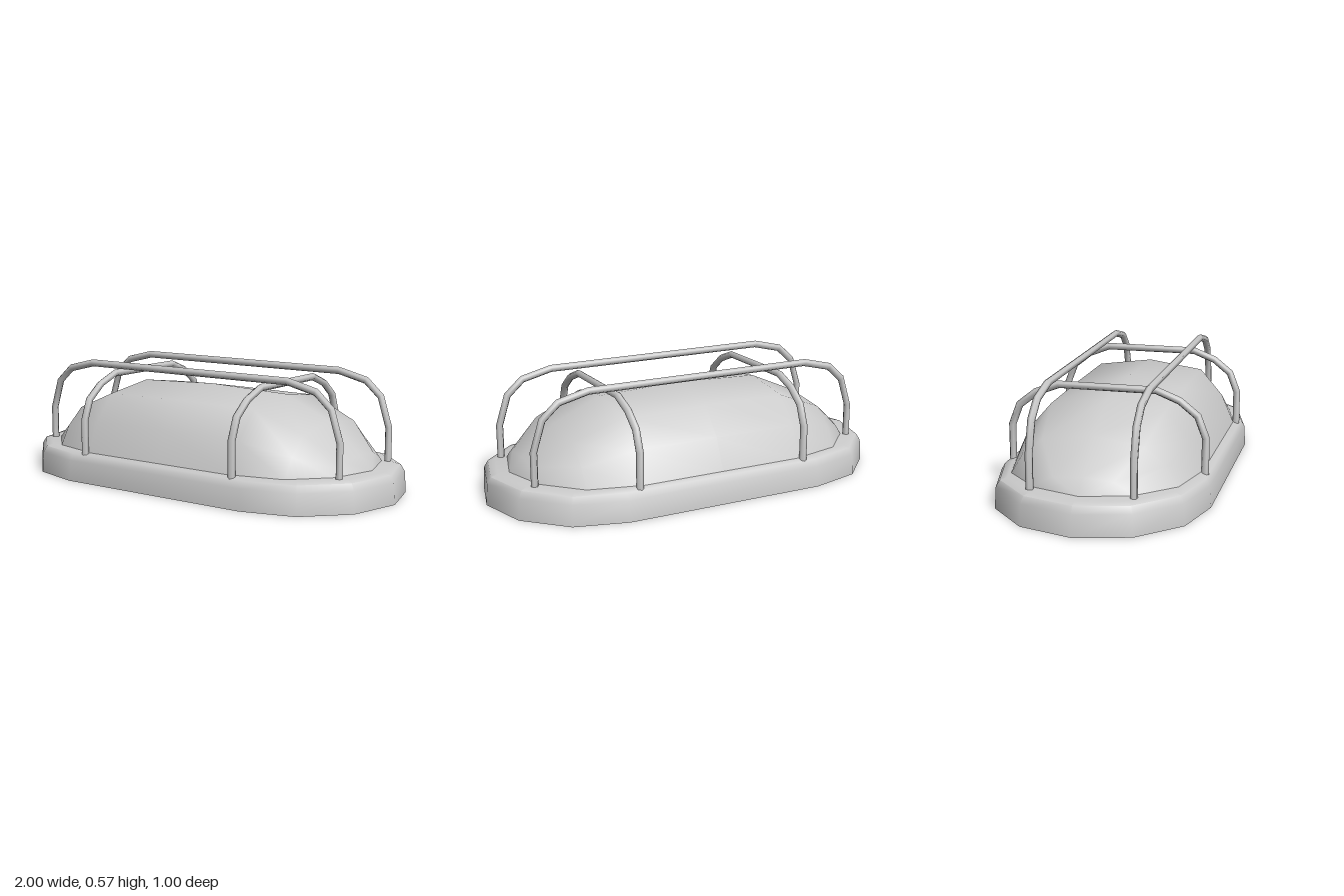
import * as THREE from 'three';
import { toCreasedNormals } from 'three/addons/utils/BufferGeometryUtils.js';

const material = new THREE.MeshStandardMaterial({ color: 0xcccccc });

// Skin a list of equal-length cross-sections (arrays of [x, y, z])
function loft(rings, crease) {
  const n = rings[0].length;
  const index = [];
  for (let i = 0; i < rings.length - 1; i++) {
    for (let j = 0; j < n - 1; j++) {
      const a = i * n + j, d = a + n;
      index.push(a, a + 1, d + 1, a, d + 1, d);
    }
  }
  const geometry = new THREE.BufferGeometry();
  geometry.setAttribute('position', new THREE.Float32BufferAttribute(rings.flat(2), 3));
  geometry.setIndex(index);
  return toCreasedNormals(geometry, crease);
}

// Stadium outline: two six-sided half rounds joined by straight sides
function stadium(r, y) {
  const points = [];
  for (const side of [1, -1]) {
    for (let k = 0; k <= 6; k++) {
      const t = (k / 6 - 0.5) * Math.PI;
      points.push([side * (0.5 + r * Math.cos(t)), y, -side * r * Math.sin(t)]);
    }
  }
  points.push(points[0]);
  return points;
}

// Mitred six-sided rod following a mirrored path in the xy plane
function rod(half, radius) {
  const path = [...half.map(([x, y]) => new THREE.Vector2(-x, y)),
    ...half.map(([x, y]) => new THREE.Vector2(x, y)).reverse()];
  const normals = path.slice(1).map((p, i) => {
    const t = p.clone().sub(path[i]).normalize();
    return new THREE.Vector2(-t.y, t.x);
  });
  const rings = path.map((p, i) => {
    const n1 = normals[Math.max(i - 1, 0)];
    const n2 = normals[Math.min(i, normals.length - 1)];
    const m = n1.clone().add(n2).divideScalar(1 + n1.dot(n2));
    return Array.from({ length: 7 }, (_, k) => {
      const a = k * Math.PI / 3, c = radius * Math.cos(a);
      return [p.x + m.x * c, p.y + m.y * c, radius * Math.sin(a)];
    });
  });
  return loft(rings, 1.2);
}

export function createModel() {
  const group = new THREE.Group();
  const add = (name, geometry) => {
    const mesh = new THREE.Mesh(geometry, material);
    mesh.name = name;
    group.add(mesh);
    return mesh;
  };

  // Base tray with a softened upper rim, closed above and below
  const centre = (y) => stadium(0, y).map(() => [0, y, 0]);
  const rim = [[0.5, 0], [0.493, 0.1], [0.474, 0.132], [0.44, 0.142]];
  add('base', loft([centre(0), ...rim.map(([r, y]) => stadium(r, y)), centre(0.142)], 0.8));

  // Faceted dome lens: stations along x as [x, half width, side height, ridge height]
  const half = [[0.42, 0.445, 0.32, 0.31], [0.66, 0.385, 0.205, 0.205],
    [0.82, 0.22, 0.065, 0.065], [0.885, 0, 0, 0]];
  const stations = [...half.map(([x, ...s]) => [-x, ...s]).reverse(),
    [0, 0.445, 0.325, 0.325], ...half];
  const section = [[-1, 0], [-0.857, 0.45], [-0.607, 0.85], [0, 1], [0.607, 0.85], [0.857, 0.45], [1, 0]];
  add('domeLens', loft(stations.map(([x, w, h, ridge]) =>
    section.map(([z, y]) => [x, 0.14 + y * (z === 0 ? ridge : h), z * w])), 0.9));

  // Guard cage: two long bars over two cross bars
  const longBar = rod([[0.845, 0.13], [0.845, 0.3], [0.8, 0.442], [0.722, 0.512], [0.575, 0.548]], 0.0175);
  const crossBar = rod([[0.458, 0.13], [0.458, 0.302], [0.42, 0.4], [0.338, 0.465], [0.23, 0.507]], 0.0175);
  for (const side of [1, -1]) {
    add(side > 0 ? 'frontLongBar' : 'backLongBar', longBar).position.z = side * 0.232;
    const cross = add(side > 0 ? 'leftCrossBar' : 'rightCrossBar', crossBar);
    cross.rotation.y = Math.PI / 2;
    cross.position.x = side * 0.432;
  }
  return group;
}
